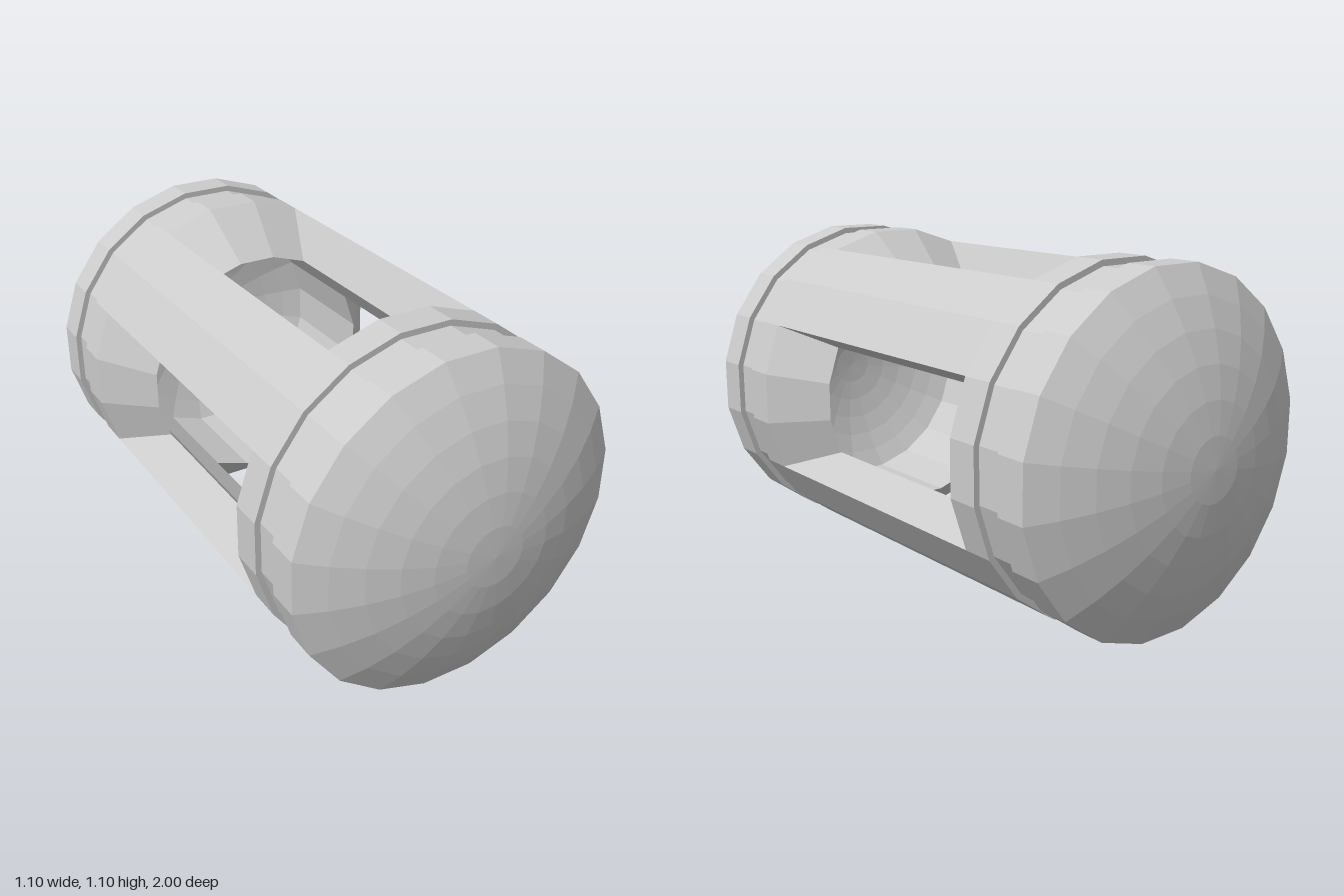
import * as THREE from 'three';

const SIDES = 20;
const STEP = (Math.PI * 2) / SIDES;
const OUTER = 0.556;   // corner radius of the 20-sided body
const INNER = 0.408;   // corner radius of the hollow
const CENTRE_Y = OUTER * Math.cos(STEP / 2);

const material = new THREE.MeshStandardMaterial({ color: 0xcccccc, flatShading: true });

// Points on a spherical cap about the origin, from the axis out to the given radius
function capPoints(sphereRadius, edgeRadius, rings) {
  const end = Math.asin(edgeRadius / sphereRadius);
  const points = [];
  for (let i = 0; i <= rings; i++) {
    const a = (end * i) / rings;
    points.push(new THREE.Vector2(sphereRadius * Math.sin(a), sphereRadius * Math.cos(a)));
  }
  return points;
}

// Domed end: hollow inside, bevelled mouth, two bands with a groove between them
function endCapGeometry() {
  const bands = [
    [INNER, 0.35], [OUTER, 0.525], [OUTER, 0.63], [0.537, 0.63],
    [0.537, 0.73], [OUTER, 0.73],
  ].map(([r, h]) => new THREE.Vector2(r, h));
  const profile = [
    ...capPoints(0.85, INNER, 6),
    ...bands,
    ...capPoints(1, OUTER, 6).reverse(),
  ];
  return new THREE.LatheGeometry(profile, SIDES, STEP / 2, Math.PI * 2);
}

// Strut: two facets of the body wall, its ends slanted to meet the bevelled mouths
function strutGeometry() {
  const angles = [1.5, 2.5, 3.5].map((k) => k * STEP);
  const at = (r) => (a) => new THREE.Vector2(r * Math.cos(a), r * Math.sin(a));
  const shape = new THREE.Shape([
    ...angles.map(at(OUTER)),
    ...angles.slice().reverse().map(at(INNER)),
  ]);
  const geometry = new THREE.ExtrudeGeometry(shape, { depth: 1, bevelEnabled: false });
  const p = geometry.attributes.position;
  for (let i = 0; i < p.count; i++) {
    const reach = Math.hypot(p.getX(i), p.getY(i)) > 0.48 ? 0.525 : 0.35;
    p.setZ(i, p.getZ(i) > 0.5 ? reach : -reach);
  }
  geometry.computeVertexNormals();
  return geometry;
}

export function createModel() {
  const model = new THREE.Group();
  model.name = 'openCapsule';

  // Front and back ends
  const capGeometry = endCapGeometry();
  for (const [name, side] of [['frontEnd', 1], ['backEnd', -1]]) {
    const cap = new THREE.Mesh(capGeometry, material);
    cap.name = name;
    cap.rotation.x = (side * Math.PI) / 2;
    cap.position.y = CENTRE_Y;
    model.add(cap);
  }

  // Four struts on the diagonals
  const strut = strutGeometry();
  ['upperLeftStrut', 'upperRightStrut', 'lowerRightStrut', 'lowerLeftStrut'].forEach((name, i) => {
    const mesh = new THREE.Mesh(strut, material);
    mesh.name = name;
    mesh.rotation.z = (i * Math.PI) / 2;
    mesh.position.y = CENTRE_Y;
    model.add(mesh);
  });

  return model;
}
